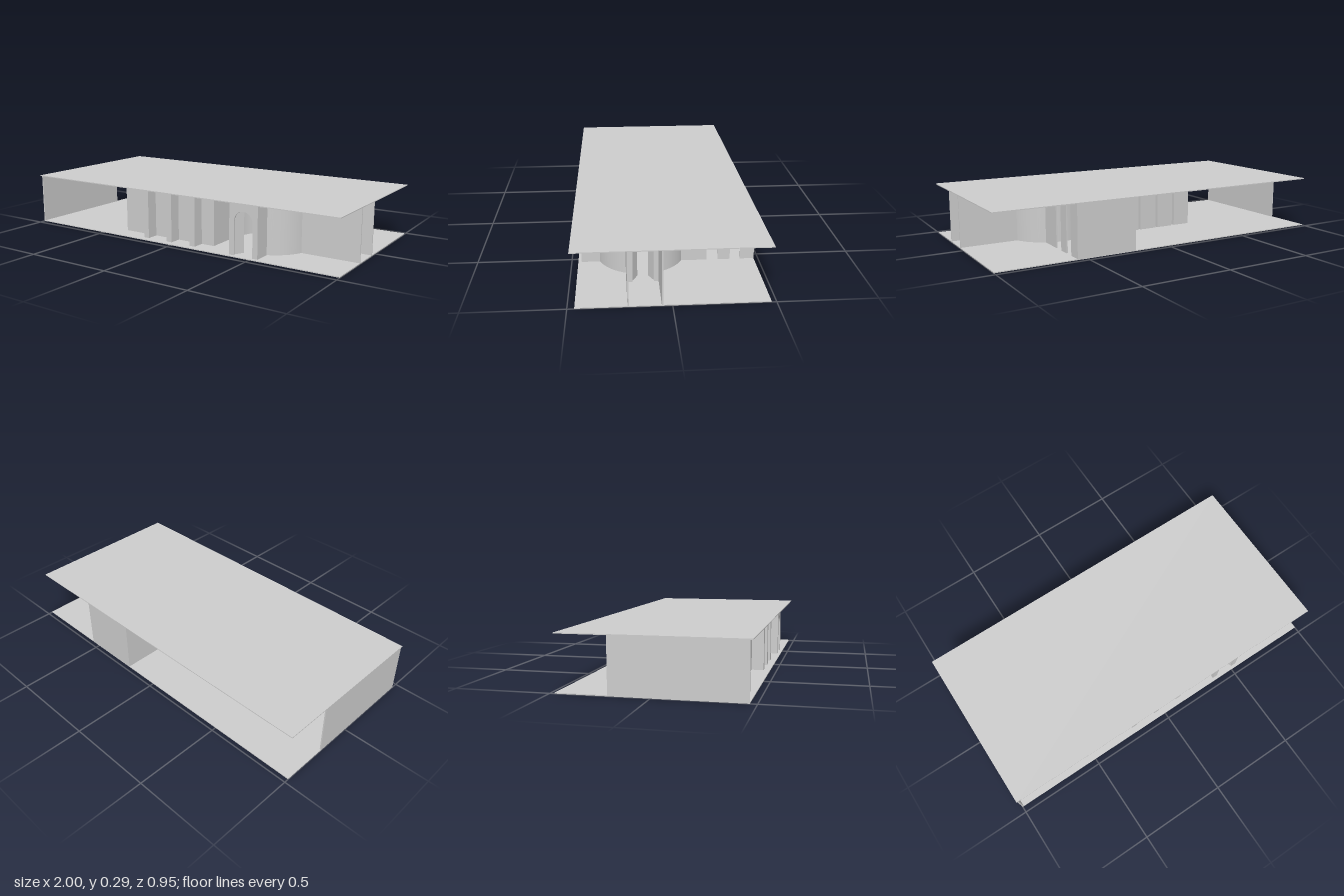
import * as THREE from 'three';
import { toCreasedNormals } from 'three/addons/utils/BufferGeometryUtils.js';

const BASE = 0.005, TOP = 0.29, T = 0.007; // floor top, ceiling underside, wall thickness
const CX = 0.455, CZ = 0.13, R = 0.235;    // round room
const HALF = 0.085;                        // half width of the porches

export function createModel() {
  const model = new THREE.Group();
  const mat = new THREE.MeshStandardMaterial({ color: 0xcccccc });

  const add = (name, geo, parent = model) => {
    const mesh = new THREE.Mesh(geo, mat);
    mesh.name = name;
    parent.add(mesh);
    return mesh;
  };
  // Box from its limits on each axis
  const block = (name, x0, x1, z0, z1, y0 = BASE, y1 = TOP, parent = model) =>
    add(name, new THREE.BoxGeometry(x1 - x0, y1 - y0, z1 - z0), parent)
      .position.set((x0 + x1) / 2, (y0 + y1) / 2, (z0 + z1) / 2);

  // Slabs
  block('floor', -1, 1, -0.475, 0.465, 0, BASE);
  block('ceiling', -1, 1, -0.475, 0.478, TOP, 0.295);

  // Outer end wall and the long cross wall
  block('endWall', -1, -1 + T, -0.21, 0.465);
  block('crossWall', 0.21, 0.21 + T, -0.475, 0.362);

  // Back room: rear wall and side wall with two full-height gaps
  block('rearWall', 0.21, 0.556, -0.475, -0.475 + T);
  for (const [z0, z1] of [[-0.475, -0.4], [-0.345, -0.28], [-0.22, -0.083]]) {
    block('sidePier', 0.556 - T, 0.556, z0, z1);
  }

  // Front wall with projecting pilasters
  block('frontWall', -0.4, 0.215, 0.355, 0.362);
  for (const x of [-0.2, -0.038, 0.12]) block('pilaster', x - 0.017, x + 0.017, 0.36, 0.43);

  // Row of panels behind the front wall
  block('panelStub', 0.145, 0.21, -0.085, -0.055);
  for (let i = 0; i < 4; i++) {
    const x = 0.007 - i * 0.121;
    block('rearPanel', x - 0.053, x + 0.053, -0.085, -0.055);
  }

  // Round room: curved wall left open towards both porches
  const gap = Math.asin(HALF / R);
  const curvedWall = (a0, a1) => {
    const s = new THREE.Shape();
    s.absarc(CX, CZ, R, a0, a1, false);
    s.absarc(CX, CZ, R - T, a1, a0, true);
    const geo = new THREE.ExtrudeGeometry(s, { depth: TOP - BASE, bevelEnabled: false, curveSegments: 48 });
    geo.rotateX(Math.PI / 2).translate(0, TOP, 0);
    add('curvedWall', toCreasedNormals(geo, 0.6));
  };
  curvedWall(gap, Math.PI / 2 - gap);
  curvedWall(Math.PI / 2 + gap, 2 * Math.PI - gap);

  // Arched doorway panel
  const r = 0.055, spring = 0.19, reach = 0.317;
  const panel = new THREE.Shape();
  panel.moveTo(-HALF, BASE);
  panel.lineTo(-r, BASE);
  panel.lineTo(-r, spring);
  panel.absarc(0, spring, r, Math.PI, 0, true);
  panel.lineTo(r, BASE);
  panel.lineTo(HALF, BASE);
  panel.lineTo(HALF, TOP);
  panel.lineTo(-HALF, TOP);
  const panelGeo = toCreasedNormals(
    new THREE.ExtrudeGeometry(panel, { depth: T, bevelEnabled: false, curveSegments: 24 }), 0.6);

  // Half-arch door leaf, hinged on its left edge
  const leaf = new THREE.Shape();
  leaf.moveTo(0, 0.01);
  leaf.lineTo(r, 0.01);
  leaf.lineTo(r, spring + r);
  leaf.absarc(r, spring, r, Math.PI / 2, Math.PI, false);
  const leafGeo = toCreasedNormals(
    new THREE.ExtrudeGeometry(leaf, { depth: 0.003, bevelEnabled: false, curveSegments: 12 }), 0.6);

  // Porch facing +z, turned for the second one; its side walls run out to sideEnd
  const porch = (name, angle, sideEnd) => {
    const g = new THREE.Group();
    g.name = name;
    g.position.set(CX, 0, CZ);
    g.rotation.y = angle;
    add('archPanel', panelGeo, g).position.z = reach - T;
    const start = R * Math.cos(gap) - T;
    for (const s of [-1, 1]) {
      const x = s * (HALF - T / 2);
      block('porchWall', x - T / 2, x + T / 2, start, sideEnd, BASE, TOP, g);
    }
    // Both leaves stand ajar inwards
    const left = add('doorLeaf', leafGeo, g);
    left.position.set(-r, 0, reach - T);
    left.rotation.y = 1.1;
    const right = add('doorLeaf', leafGeo.clone().rotateY(Math.PI).translate(0, 0, 0.003), g);
    right.position.set(r, 0, reach - T);
    right.rotation.y = -1.1;
    model.add(g);
  };
  porch('frontPorch', 0, reach - T);
  porch('sidePorch', Math.PI / 2, 1 - CX);

  return model;
}
